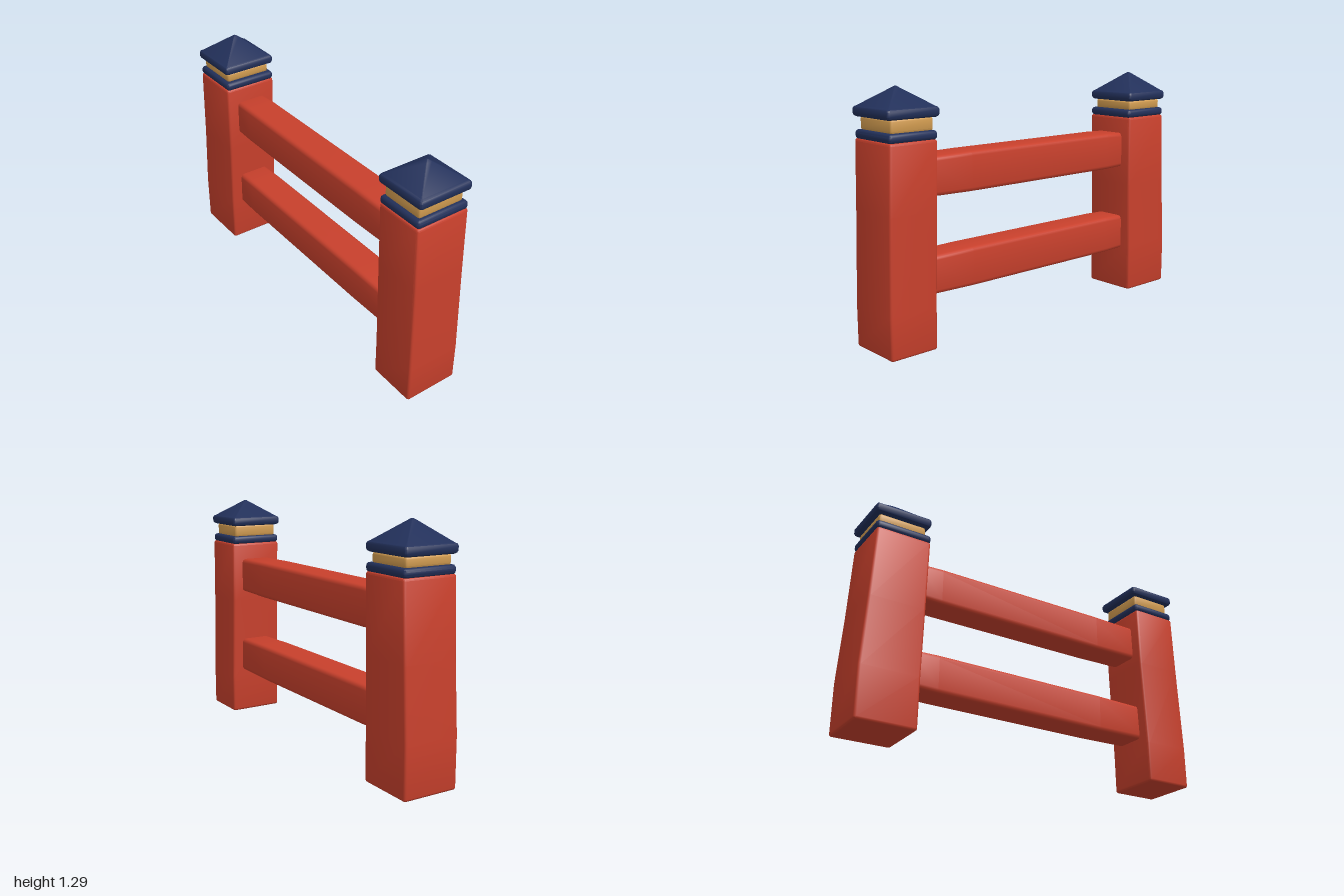
import * as THREE from 'three';
import { toCreasedNormals } from 'three/addons/utils/BufferGeometryUtils.js';

const paint = (name, color) => {
  const m = new THREE.MeshStandardMaterial({ color });
  m.name = name;
  return m;
};

// Lofts rounded rectangles [y, x0, x1, halfDepth, cornerRadius] upward and closes both ends.
function loft(sections) {
  const STEPS = 3, N = 4 * (STEPS + 1), pos = [], idx = [];
  for (const [y, x0, x1, hz, r] of sections) {
    const cx = (x0 + x1) / 2, hx = (x1 - x0) / 2;
    for (let c = 0; c < 4; c++) {
      const sx = c === 0 || c === 3 ? 1 : -1, sz = c < 2 ? 1 : -1;
      for (let s = 0; s <= STEPS; s++) {
        const a = (c + s / STEPS) * Math.PI / 2;
        pos.push(cx + sx * (hx - r) + r * Math.cos(a), y, sz * (hz - r) + r * Math.sin(a));
      }
    }
  }
  const rows = sections.length;
  for (let j = 0; j < rows - 1; j++) {
    for (let i = 0; i < N; i++) {
      const a = j * N + i, b = j * N + (i + 1) % N;
      idx.push(a, a + N, b, b, a + N, b + N);
    }
  }
  const top = (rows - 1) * N;
  for (let i = 1; i < N - 1; i++) {
    idx.push(0, i, i + 1, top, top + i + 1, top + i);
  }
  const g = new THREE.BufferGeometry();
  g.setAttribute('position', new THREE.Float32BufferAttribute(pos, 3));
  g.setIndex(idx);
  return toCreasedNormals(g, 0.6);
}

// Adds rounded edges to the first and last of a list of sections.
function rounded(sections, b) {
  const edge = ([y, x0, x1, hz], up) => [0, 1, 2, 3].map((k) => {
    const a = k / 3 * Math.PI / 2, d = b * (1 - Math.sin(a));
    return [y + up * b * (1 - Math.cos(a)), x0 + d, x1 - d, hz - d, Math.max(b - d, 0.001)];
  });
  const mid = sections.slice(1, -1).map((s) => [s[0], s[1], s[2], s[3], b]);
  return loft([...edge(sections[0], 1), ...mid, ...edge(sections.at(-1), -1).reverse()]);
}

export function createModel() {
  const red = paint('red paint', 0xc8402c);
  const navy = paint('navy paint', 0x22305a);
  const gold = paint('gold trim', 0xd29c50);
  const model = new THREE.Group();
  model.name = 'fence';

  const add = (parent, name, geometry, material) => {
    const mesh = new THREE.Mesh(geometry, material);
    mesh.name = name;
    parent.add(mesh);
    return mesh;
  };

  // The two posts lean inward a little differently.
  const posts = [
    {
      name: 'rightPost', base: 0.01,
      shaft: [[0.01, -1, -0.68, 0.155], [0.28, -1, -0.678, 0.155], [0.65, -0.978, -0.669, 0.152], [1.045, -0.96, -0.662, 0.153]],
      collar: [-0.963, -0.658], band: [-0.945, -0.685], bandTop: 1.137, cap: [-0.972, -0.66], eave: 1.137,
    },
    {
      name: 'leftPost',
      shaft: [[0, 0.73, 1, 0.155], [0.22, 0.728, 1, 0.155], [0.7, 0.711, 0.985, 0.152], [1.045, 0.704, 0.975, 0.153]],
      collar: [0.699, 0.975], band: [0.713, 0.953], bandTop: 1.152, cap: [0.686, 0.984], eave: 1.15,
    },
  ];
  for (const p of posts) {
    const post = new THREE.Group();
    post.name = p.name;
    model.add(post);
    add(post, 'shaft', rounded(p.shaft, 0.013), red);
    const slab = (y0, y1, [x0, x1], hz, b) => rounded([[y0, x0, x1, hz], [y1, x0, x1, hz]], b);
    add(post, 'collar', slab(1.042, 1.088, p.collar, 0.152, 0.018), navy);
    add(post, 'band', slab(1.084, p.bandTop, p.band, 0.132, 0.012), gold);

    // Pyramid roof with a rounded eave
    const [x0, x1] = p.cap, y = p.eave, c = (x0 + x1) / 2;
    const ring = (h, inset, r) => [y + h, x0 + inset, x1 - inset, 0.155 - inset, r];
    add(post, 'cap', loft([
      ring(0, 0.016, 0.004), ring(0.006, 0.005, 0.012), ring(0.016, 0, 0.016), ring(0.037, 0, 0.016),
      ring(0.047, 0.006, 0.01), ring(0.053, 0.018, 0.003),
      [1.285, c - 0.018, c + 0.018, 0.018, 0.003], [1.295, c - 0.004, c + 0.004, 0.004, 0.001],
    ]), navy);
  }

  // Rails: lofted upright, then laid along x, slightly slimmer at the ends.
  const rail = (name, y, x0, x1) => {
    const g = rounded([
      [x0, -0.099, 0.099, 0.09], [-0.55, -0.103, 0.103, 0.092],
      [0.45, -0.103, 0.103, 0.092], [x1, -0.098, 0.098, 0.09],
    ], 0.022);
    g.rotateZ(-Math.PI / 2);
    add(model, name, g, red).position.set(0, y, -0.002);
  };
  rail('upperRail', 0.852, -0.7, 0.745);
  rail('lowerRail', 0.357, -0.71, 0.76);

  return model;
}
